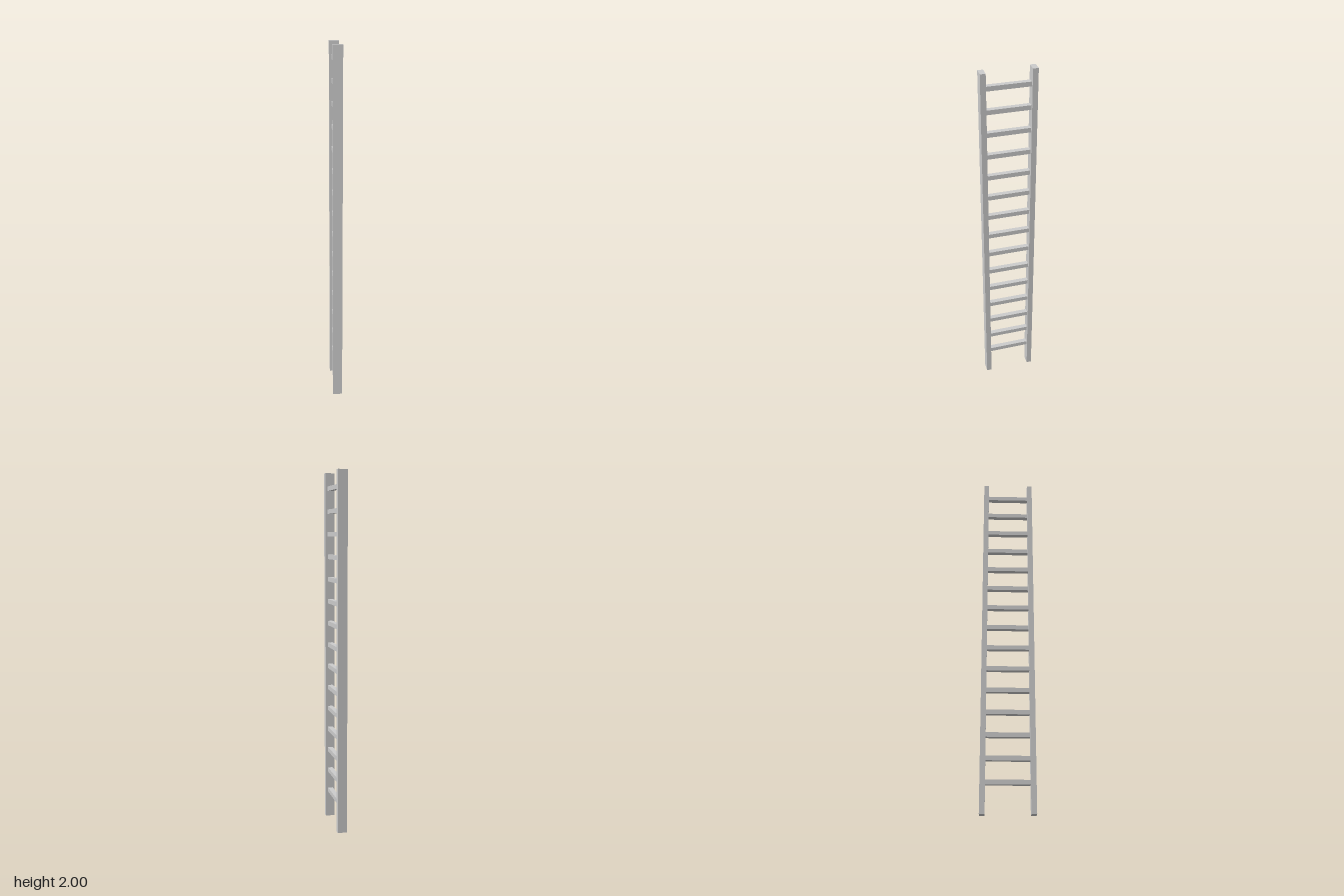
import * as THREE from 'three';

export function createModel() {
  const group = new THREE.Group();
  const material = new THREE.MeshStandardMaterial({ color: 0xcccccc, flatShading: true });

  const addBox = (name, w, h, d, y, z) => {
    const mesh = new THREE.Mesh(new THREE.BoxGeometry(w, h, d), material);
    mesh.name = name;
    mesh.position.set(0, y, z);
    group.add(mesh);
  };

  // Two upright rails
  addBox('frontRail', 0.053, 2, 0.029, 1, 0.1315);
  addBox('backRail', 0.053, 2, 0.029, 1, -0.1315);

  // Evenly spaced square rungs between the rails
  const rungCount = 15, firstY = 0.163, spacing = 0.1252;
  for (let i = 0; i < rungCount; i++) {
    addBox(`rung${i + 1}`, 0.027, 0.025, 0.236, firstY + i * spacing, 0);
  }
  return group;
}
